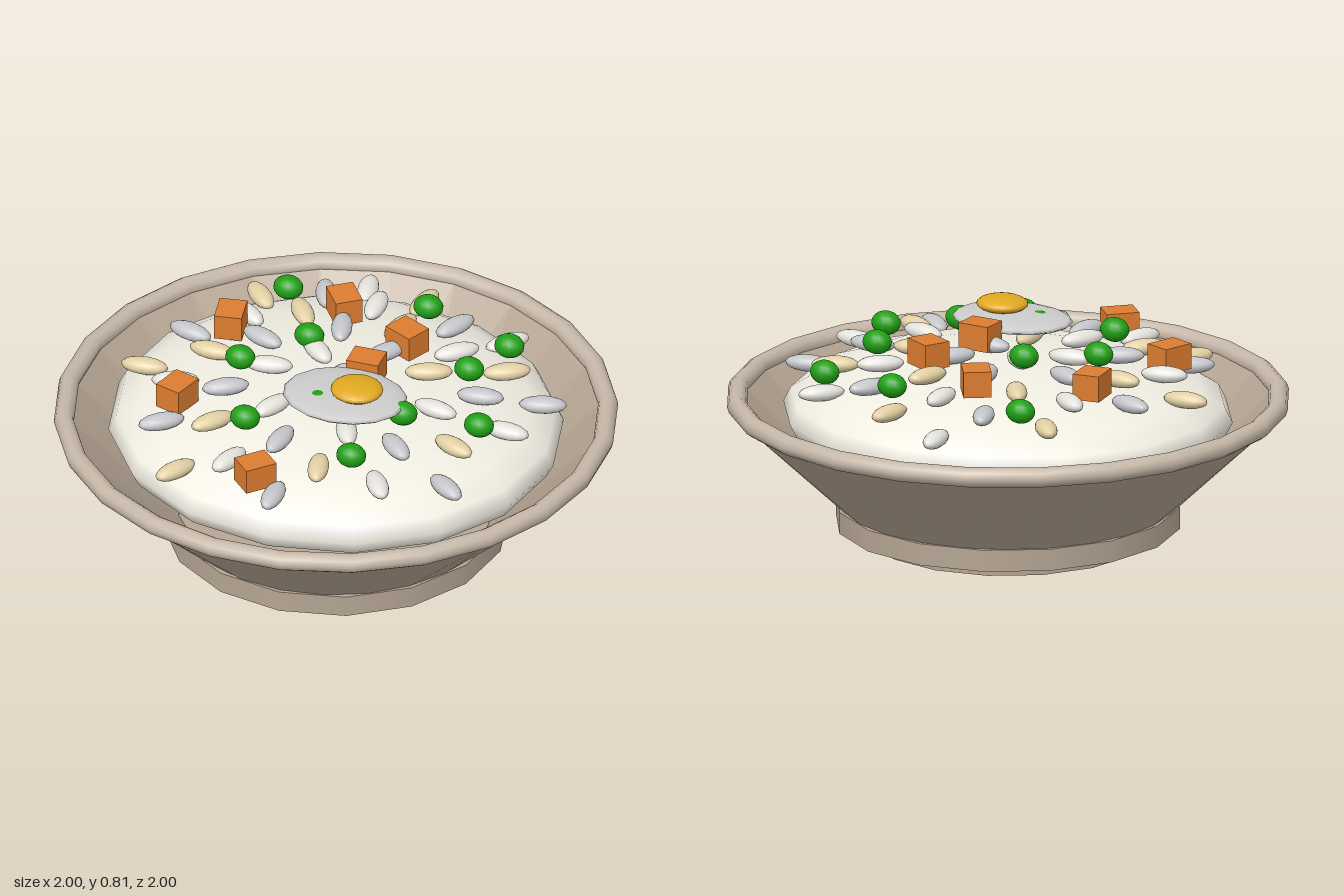
import * as THREE from 'three';

const mat = (color, extra = {}) => new THREE.MeshStandardMaterial({ color, ...extra });
const RAD = Math.PI / 180;

// Height of the rice mound at a point
const riceTop = (x, z) => 0.46 + 0.21 * Math.sqrt(Math.max(0, 1 - (x / 0.82) ** 2 - (z / 0.77) ** 2));

// Sunflower spiral that scatters the toppings over the mound
function spiral(i, spread) {
  const angle = -i * 137.5 * RAD;
  const r = spread * Math.sqrt(i + 0.5);
  return { x: r * Math.cos(angle), z: r * Math.sin(angle), angle };
}

// Open faceted cone wall whose bottom ring is turned half a step against the top ring
function coneWall(rTop, rBottom, yTop, yBottom, sides) {
  const step = (Math.PI * 2) / sides;
  const point = (r, y, k) => [r * Math.cos(k * step), y, r * Math.sin(k * step)];
  const pos = [];
  for (let i = 0; i < sides; i++) {
    const t0 = point(rTop, yTop, i + 0.5), t1 = point(rTop, yTop, i + 1.5);
    const b0 = point(rBottom, yBottom, i), b1 = point(rBottom, yBottom, i + 1);
    pos.push(...t0, ...b1, ...b0, ...t0, ...t1, ...b1);
  }
  const g = new THREE.BufferGeometry();
  g.setAttribute('position', new THREE.Float32BufferAttribute(pos, 3));
  g.computeVertexNormals();
  return g;
}

export function createModel() {
  const model = new THREE.Group();
  const add = (name, geometry, material, x = 0, y = 0, z = 0, parent = model) => {
    const mesh = new THREE.Mesh(geometry, material);
    mesh.name = name;
    mesh.position.set(x, y, z);
    parent.add(mesh);
    return mesh;
  };
  const group = (name) => {
    const g = new THREE.Group();
    g.name = name;
    model.add(g);
    return g;
  };

  // Bowl: foot, base ring, faceted walls and rounded rim
  const clay = mat(0xb5a593);
  const wallMat = mat(0xb5a593, { flatShading: true, side: THREE.DoubleSide });
  add('foot', new THREE.CylinderGeometry(0.505, 0.505, 0.06, 16), clay, 0, 0.03, 0);
  add('baseRing', new THREE.CylinderGeometry(0.62, 0.62, 0.08, 16), clay, 0, 0.09, 0);
  add('outerWall', coneWall(0.972, 0.6, 0.48, 0.125, 24), wallMat);
  add('innerWall', coneWall(0.95, 0.57, 0.51, 0.14, 24), wallMat);
  const rim = add('rim', new THREE.TorusGeometry(0.9726, 0.036, 10, 24), mat(0xc6b8a8), 0, 0.51, 0);
  rim.rotation.set(Math.PI / 2, 0, 7.5 * RAD);

  // Rice mound
  const mound = add('riceMound', new THREE.SphereGeometry(1, 16, 12), mat(0xf0ede2), 0, 0.46, 0);
  mound.scale.set(0.82, 0.21, 0.77);

  // Loose grains pointing outwards, in three repeating shades
  const shades = [mat(0xc4c6ca), mat(0xe4e2dc), mat(0xe2d0a4)];
  const ball = new THREE.SphereGeometry(1, 14, 10);
  const grains = group('riceGrains');
  for (let i = 0; i < 43; i++) {
    const { x, z, angle } = spiral(i, 0.1135);
    const grain = add('grain', ball, shades[i % 3], x, riceTop(x, z) + 0.03, z, grains);
    grain.scale.set(0.086, 0.03, 0.038);
    grain.rotation.y = -angle;
  }

  // Peas, with a diced carrot cube at every third place
  const peaMat = mat(0x1fa014);
  const carrotMat = mat(0xdc7c30);
  const cube = new THREE.BoxGeometry(0.12, 0.095, 0.1);
  const peas = group('peas');
  const carrots = group('carrotCubes');
  for (let i = 0; i < 17; i++) {
    const { x, z } = spiral(i, 0.163);
    const y = riceTop(x, z) + 0.062;
    if (i % 3 === 0) {
      add('carrotCube', cube, carrotMat, x, y, z, carrots).rotation.y = -i * 9 * RAD;
    } else {
      add('pea', ball, peaMat, x, y, z, peas).scale.set(0.055, 0.044, 0.046);
    }
  }

  // Fried egg
  const egg = group('friedEgg');
  const white = add('eggWhite', new THREE.SphereGeometry(1, 16, 10), mat(0xc8cacc), 0.107, 0.737, 0.21, egg);
  white.scale.set(0.228, 0.027, 0.178);
  const yolk = add('yolk', new THREE.SphereGeometry(1, 18, 12), mat(0xe0a820), 0.155, 0.782, 0.22, egg);
  yolk.scale.set(0.095, 0.03, 0.088);

  return model;
}
